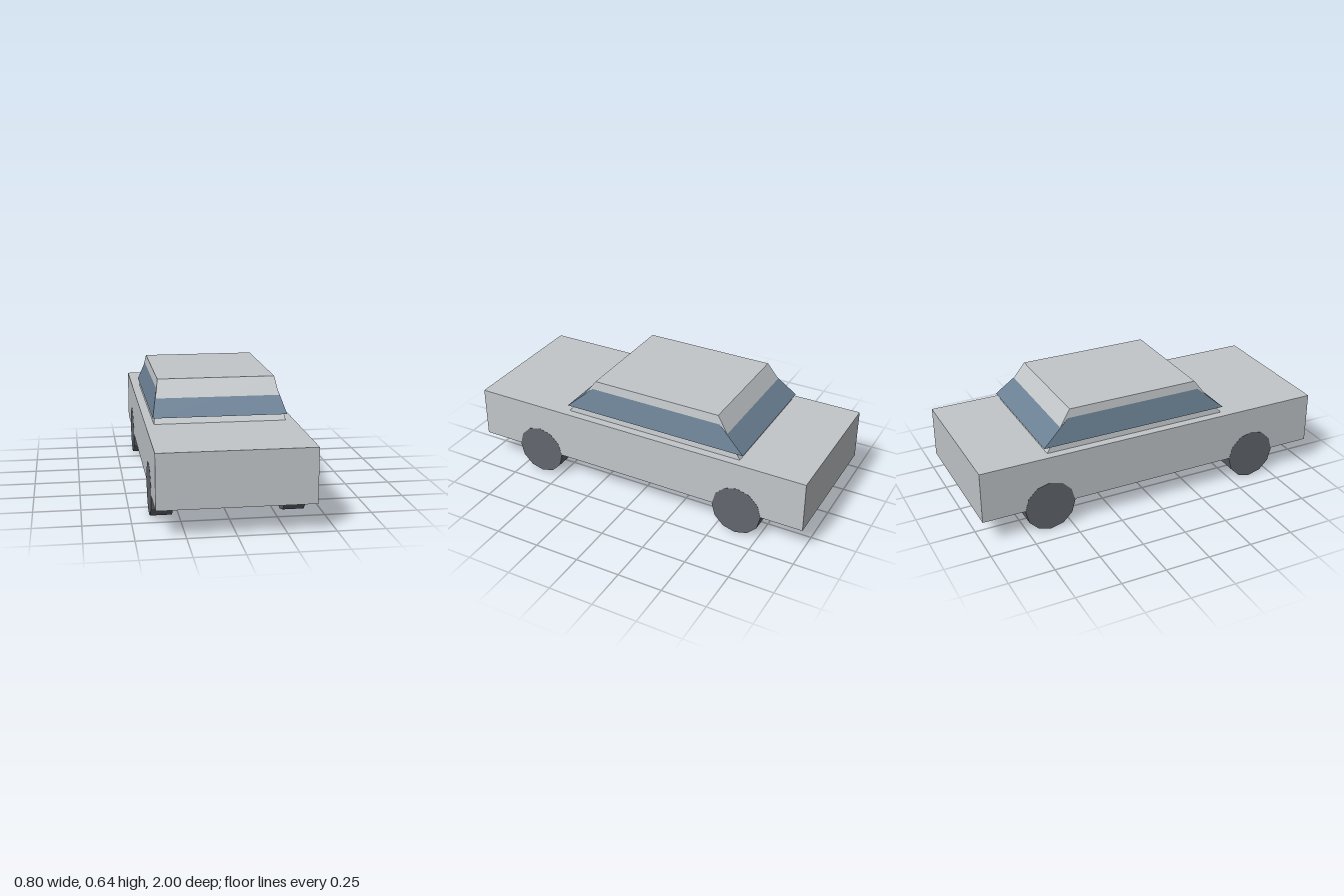
import * as THREE from 'three';

const paint = new THREE.MeshStandardMaterial({ name: 'silver paint', color: 0xc2c6c9 });
const glass = new THREE.MeshStandardMaterial({ name: 'blue glass', color: 0x6b8094 });
const rubber = new THREE.MeshStandardMaterial({ name: 'dark rubber', color: 0x62666d });

// Box whose bottom and top are rectangles: { y, half (half width in x), front, back (in z) }
function taperedBox(bottom, top) {
  const geometry = new THREE.BoxGeometry(2, 2, 2);
  const p = geometry.attributes.position;
  for (let i = 0; i < p.count; i++) {
    const level = p.getY(i) > 0 ? top : bottom;
    p.setXYZ(i, p.getX(i) * level.half, level.y, p.getZ(i) > 0 ? level.front : level.back);
  }
  geometry.computeVertexNormals();
  return geometry;
}

export function createModel() {
  const car = new THREE.Group();
  car.name = 'car';
  const add = (name, geometry, material) => {
    const mesh = new THREE.Mesh(geometry, material);
    mesh.name = name;
    car.add(mesh);
    return mesh;
  };

  // Lower body slab
  add('body', new THREE.BoxGeometry(0.8, 0.287, 2), paint).position.y = 0.29;

  // Tapered cabin with its roof
  add('cabin', taperedBox(
    { y: 0.433, half: 0.354, front: 0.437, back: -0.612 },
    { y: 0.645, half: 0.32, front: 0.28, back: -0.465 }), paint);

  // Window band: a frustum that flares out of the cabin at its lower edge
  add('windows', taperedBox(
    { y: 0.468, half: 0.36, front: 0.445, back: -0.63 },
    { y: 0.62, half: 0.322, front: 0.272, back: -0.452 }), glass);

  // Twelve-sided wheels, flush with the body sides
  const tyre = new THREE.CylinderGeometry(0.142, 0.142, 0.112, 12).rotateZ(Math.PI / 2);
  rubber.flatShading = true;
  for (const [side, x] of [['left', 1], ['right', -1]]) {
    for (const [end, z] of [['Front', 1], ['Rear', -1]]) {
      add(`${side}${end}Wheel`, tyre, rubber).position.set(x * 0.345, 0.142, z * 0.622);
    }
  }
  return car;
}
